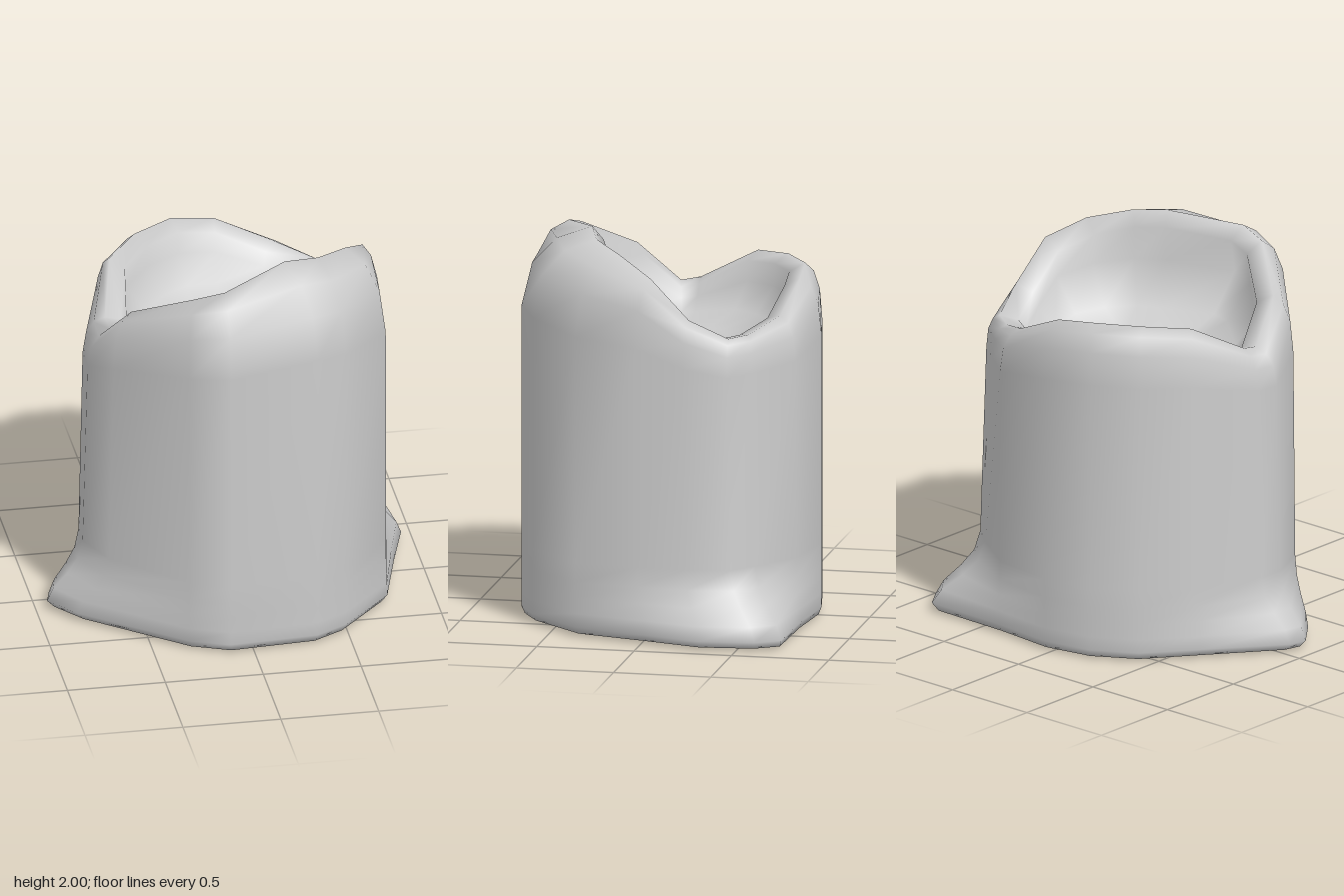
import * as THREE from 'three';

// Stations around the body, counterclockwise from the front:
// foot x,z | wall x,z | rim crest x,z,y
const STATIONS = [
  [-0.12, 0.75, -0.12, 0.76, -0.12, 0.57, 1.95],
  [0.33, 0.72, 0.33, 0.72, 0.22, 0.38, 2.0],
  [0.49, 0.63, 0.49, 0.63, 0.4, 0.32, 1.975],
  [0.75, 0.35, 0.74, 0.36, 0.57, 0.16, 1.935],
  [0.85, -0.02, 0.765, 0.04, 0.69, -0.02, 1.85],
  [0.94, -0.32, 0.77, -0.2, 0.71, -0.22, 1.65],
  [0.91, -0.6, 0.73, -0.42, 0.65, -0.41, 1.55],
  [0.83, -0.72, 0.6, -0.52, 0.53, -0.49, 1.55],
  [0.38, -0.73, 0.39, -0.7, 0.33, -0.61, 1.61],
  [0.04, -0.76, 0.04, -0.76, 0.04, -0.65, 1.74],
  [-0.22, -0.71, -0.22, -0.71, -0.18, -0.63, 1.77],
  [-0.44, -0.58, -0.44, -0.58, -0.39, -0.5, 1.765],
  [-0.64, -0.33, -0.61, -0.37, -0.55, -0.31, 1.74],
  [-0.92, 0.02, -0.74, -0.02, -0.63, 0.0, 1.57],
  [-0.945, 0.11, -0.74, 0.12, -0.62, 0.1, 1.55],
  [-0.82, 0.27, -0.65, 0.35, -0.55, 0.31, 1.75],
  [-0.32, 0.67, -0.32, 0.67, -0.27, 0.54, 1.91],
];
const FLOOR = 1.39, CENTRE_Z = -0.03;
const { lerp: mix, clamp } = THREE.MathUtils;

// One vertical profile, from the underside up the wall and over the rim into the bowl
function profile([fx, fz, wx, wz, rx, rz, ry]) {
  const points = [];
  // Underside edge and flared foot, blending into a slightly tapered wall
  points.push([fx * 0.96, 0.012, fz * 0.98], [fx, 0.05, fz]);
  for (const [y, t] of [[0.12, 0.16], [0.2, 0.5], [0.28, 0.76], [0.38, 0.88]])
    points.push([mix(fx, wx, t), y, mix(fz, wz, t)]);
  // Wall and rounded shoulder, tighter where the rim dips
  const drop = 0.4 * clamp((ry - 1.2) / 0.75, 0, 1);
  for (const [d, t] of [[1, 0], [0.45, 0.15], [0.14, 0.5], [0, 1]])
    points.push([mix(wx, rx, t), ry - drop * d, mix(wz, rz, t)]);
  // Inner lip, inner wall (undercut below the high front) and bowl floor
  const inner = (s, y) => points.push([rx * s, y, CENTRE_Z + (rz - CENTRE_Z) * s]);
  const undercut = mix(0.82, 0.92, clamp((ry - 1.6) / 0.4, 0, 1));
  inner(0.87, mix(ry, FLOOR, 0.12));
  inner(undercut, mix(ry, FLOOR, 0.42));
  inner(0.7, mix(ry, FLOOR, 0.78));
  inner(0.38, mix(ry, FLOOR, 0.95));
  return points;
}

// Join the profiles into a closed skin
function skin(stations) {
  const columns = stations.map(profile);
  const n = columns.length, rows = columns[0].length;
  const positions = [], index = [];
  for (let j = 0; j < rows; j++) for (const column of columns) positions.push(...column[j]);
  const bottom = n * rows, floor = bottom + 1;
  positions.push(0, 0, 0, 0, FLOOR, CENTRE_Z);
  for (let i = 0; i < n; i++) {
    const k = (i + 1) % n;
    for (let j = 0; j < rows - 1; j++) {
      const a = j * n + i, b = j * n + k;
      index.push(a, b, b + n, a, b + n, a + n);
    }
    index.push(bottom, k, i);
    index.push((rows - 1) * n + i, (rows - 1) * n + k, floor);
  }
  const geometry = new THREE.BufferGeometry();
  geometry.setAttribute('position', new THREE.Float32BufferAttribute(positions, 3));
  geometry.setIndex(index);
  geometry.computeVertexNormals();
  return geometry;
}

export function createModel() {
  const group = new THREE.Group();
  group.name = 'hollowStump';
  const material = new THREE.MeshStandardMaterial({ color: 0xcccccc });
  const body = new THREE.Mesh(skin(STATIONS), material);
  body.name = 'stumpBody';
  group.add(body);
  return group;
}
